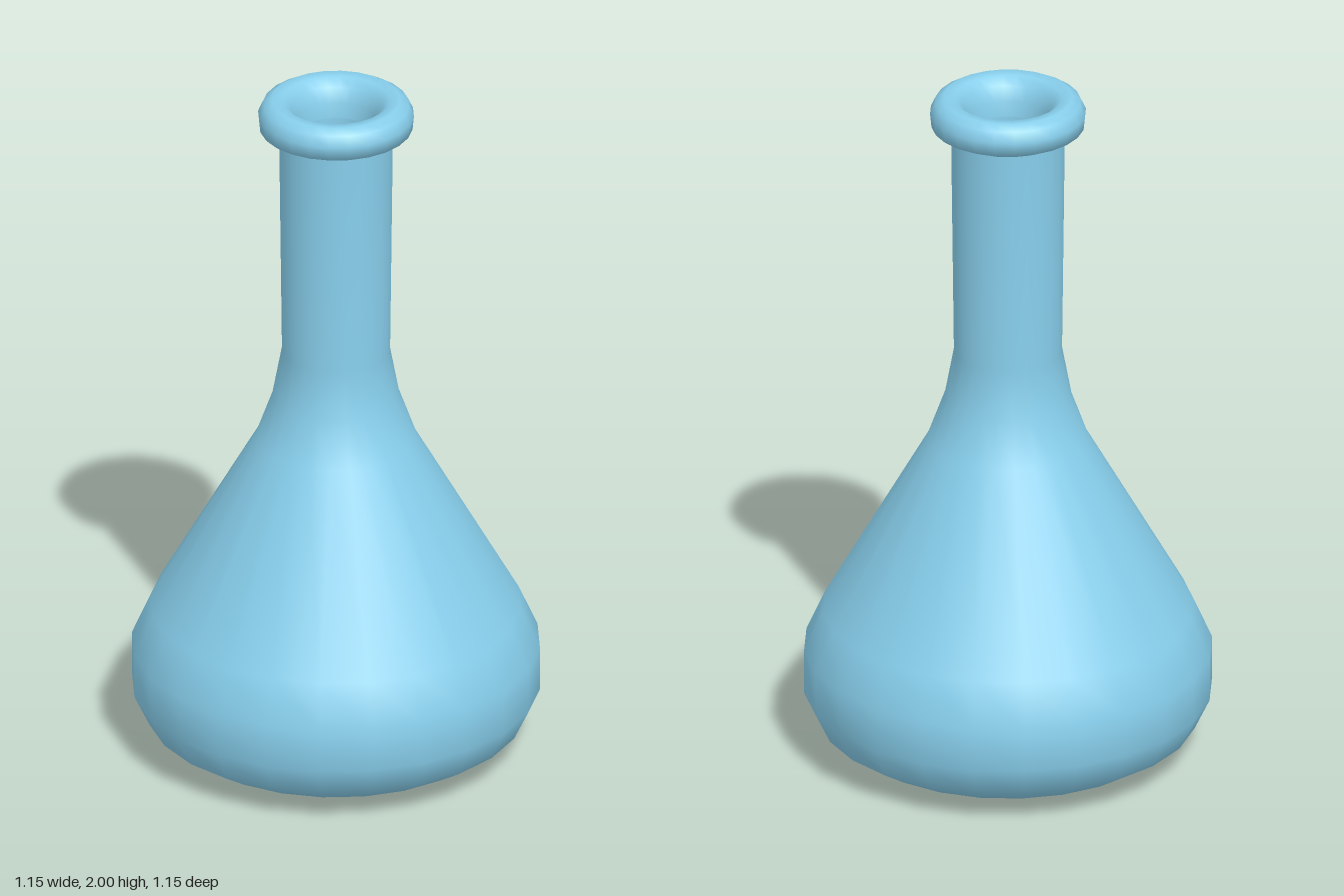
import * as THREE from 'three';

const SIDES = 24;

// Turned part from [radius, height] pairs
function turned(name, profile, material) {
  const points = profile.map(([r, y]) => new THREE.Vector2(r, y));
  const mesh = new THREE.Mesh(new THREE.LatheGeometry(points, SIDES), material);
  mesh.name = name;
  return mesh;
}

export function createModel() {
  const group = new THREE.Group();
  group.name = 'flask';
  const glass = new THREE.MeshStandardMaterial({ color: 0x87ceeb });

  // Outer wall, from the slightly domed base up to the lip
  group.add(turned('body', [
    [0, 0], [0.33, 0.013], [0.45, 0.04], [0.53, 0.09], [0.573, 0.18],
    [0.573, 0.31], [0.52, 0.43], [0.225, 0.95], [0.178, 1.08],
    [0.152, 1.22], [0.16, 1.9],
  ], glass));

  // Rounded lip, rolled over into the mouth
  group.add(turned('lip', [
    [0.155, 1.885], [0.215, 1.915], [0.219, 1.955], [0.205, 1.985],
    [0.18, 2], [0.15, 1.997], [0.125, 1.975], [0.108, 1.935], [0.103, 1.89],
  ], glass));

  // Inner wall, from the mouth down to the inside floor
  group.add(turned('innerWall', [
    [0.103, 1.89], [0.095, 1.22], [0.12, 1.08], [0.17, 0.95], [0.465, 0.42],
    [0.515, 0.31], [0.515, 0.19], [0.48, 0.12], [0.4, 0.08], [0.3, 0.06], [0, 0.05],
  ], glass));

  return group;
}
